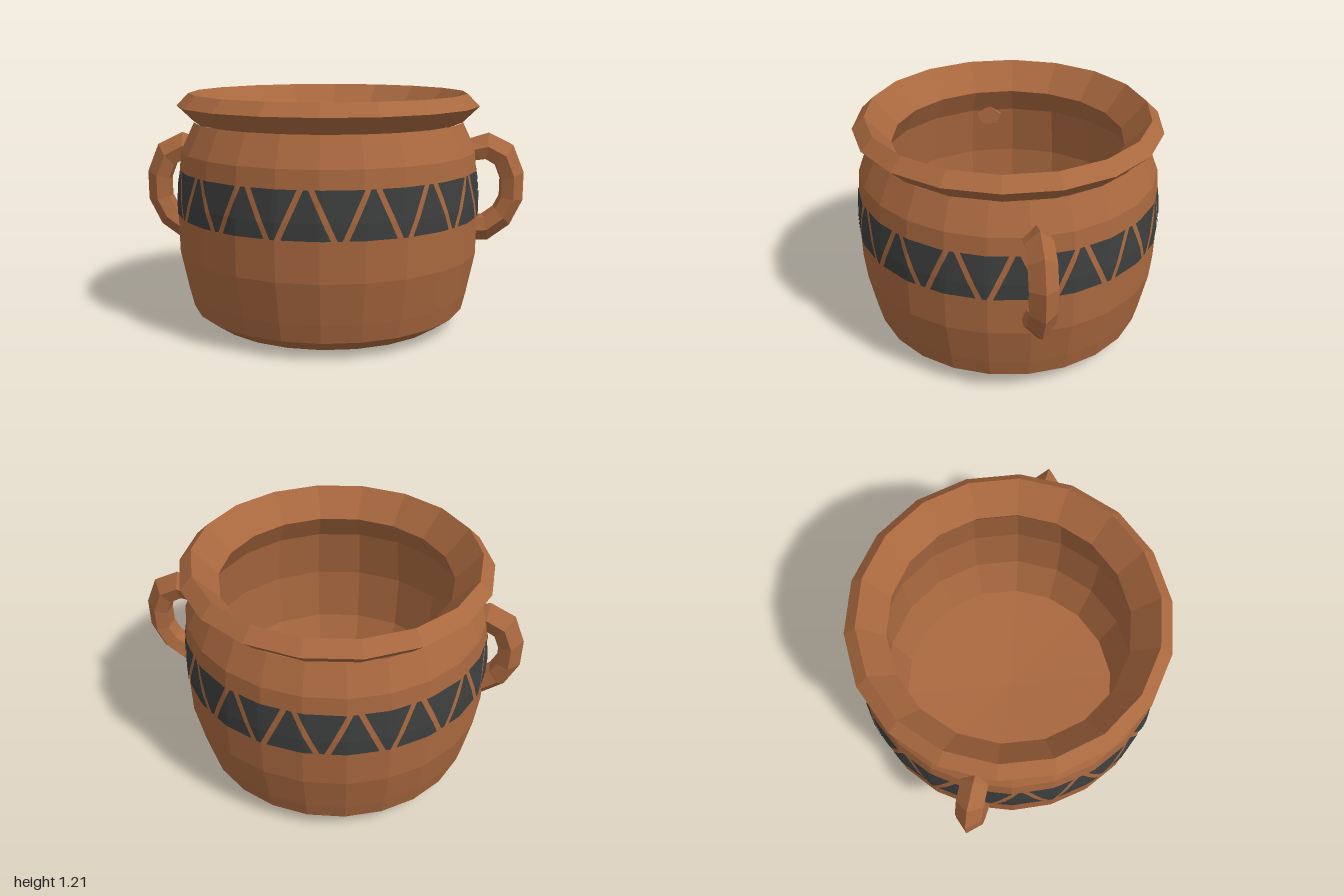
import * as THREE from 'three';

const CX = -0.035;                 // pot axis sits slightly off centre
const SIDES = 24, RIM_SIDES = 18;
const BODY = [[0, 0.003], [0.51, 0.003], [0.635, 0.03], [0.725, 0.095], [0.748, 0.19],
  [0.79, 0.4], [0.793, 0.6], [0.793, 0.68], [0.77, 0.92], [0.7, 1.067]];

function createMaterials() {
  const clay = new THREE.MeshStandardMaterial({ color: 0xa9683f, flatShading: true });
  clay.name = 'terracotta';
  const paint = new THREE.MeshStandardMaterial({ color: 0x3d3e3e, flatShading: true });
  paint.name = 'charcoalPaint';
  return { clay, paint };
}

function lathe(name, profile, sides, material) {
  const geometry = new THREE.LatheGeometry(profile.map(([r, y]) => new THREE.Vector2(r, y)), sides);
  const mesh = new THREE.Mesh(geometry, material);
  mesh.name = name;
  mesh.position.x = CX;
  return mesh;
}

function meshFrom(name, positions, index, material) {
  let geometry = new THREE.BufferGeometry();
  geometry.setAttribute('position', new THREE.Float32BufferAttribute(positions, 3));
  geometry.setIndex(index);
  geometry = geometry.toNonIndexed();
  geometry.computeVertexNormals();
  const mesh = new THREE.Mesh(geometry, material);
  mesh.name = name;
  return mesh;
}

// Radius of the faceted body at an angle and height
function bodyRadius(theta, y) {
  let i = 1;
  while (i < BODY.length - 2 && y > BODY[i + 1][1]) i++;
  const [r0, y0] = BODY[i], [r1, y1] = BODY[i + 1];
  const r = r0 + (r1 - r0) * (y - y0) / (y1 - y0);
  const step = 2 * Math.PI / SIDES;
  const local = ((theta % step) + step) % step - step / 2;
  return r * Math.cos(step / 2) / Math.cos(local);
}

// Painted band: alternating upright and inverted triangles hugging the wall
function createBand(material) {
  const positions = [], index = [];
  const rows = [0.6, 0.68, 0.76, 0.83], cols = 6, count = 32;
  for (let k = 0; k < count; k++) {
    const centre = -0.08 + k * 2 * Math.PI / count;
    const bottom = k % 2 ? 0.014 : 0.145, top = k % 2 ? 0.145 : 0.014;
    const base = positions.length / 3;
    rows.forEach((y, j) => {
      const half = bottom + (top - bottom) * (y - 0.6) / 0.23;
      for (let i = 0; i <= cols; i++) {
        const theta = centre + half * (2 * i / cols - 1);
        const r = bodyRadius(theta, y) + 0.005;
        positions.push(r * Math.sin(theta), y, r * Math.cos(theta));
        if (i < cols && j < rows.length - 1) {
          const a = base + j * (cols + 1) + i, d = a + cols + 1;
          index.push(a, a + 1, d + 1, a, d + 1, d);
        }
      }
    });
  }
  const band = meshFrom('triangleBand', positions, index, material);
  band.position.x = CX;
  return band;
}

// Loop handle: five-sided section with a ridge along its outer edge
function createHandle(name, material) {
  const outer = [[0.68, 0.96], [0.81, 1.0], [0.94, 0.935], [1.0, 0.79], [1.0, 0.64], [0.935, 0.505], [0.82, 0.42], [0.73, 0.42]];
  const inner = [[0.68, 0.85], [0.79, 0.865], [0.85, 0.83], [0.88, 0.755], [0.88, 0.66], [0.85, 0.6], [0.79, 0.555], [0.73, 0.545]];
  const section = [[1, 0], [0.5, 0.067], [0, 0.045], [0, -0.045], [0.5, -0.067]];
  const positions = [], index = [], n = section.length, last = (outer.length - 1) * n;
  outer.forEach(([ox, oy], i) => {
    const [ix, iy] = inner[i];
    section.forEach(([t, z], j) => {
      positions.push(ix + (ox - ix) * t, iy + (oy - iy) * t, z - 0.022);
      if (i < outer.length - 1) {
        const a = i * n + j, b = i * n + (j + 1) % n;
        index.push(a, b, b + n, a, b + n, a + n);
      }
    });
  });
  for (let j = 1; j < n - 1; j++) index.push(0, j + 1, j, last, last + j, last + j + 1);
  return meshFrom(name, positions, index, material);
}

export function createModel() {
  const { clay, paint } = createMaterials();
  const pot = new THREE.Group();
  pot.name = 'clayPot';

  pot.add(lathe('body', BODY, SIDES, clay));
  // Flared lip, sloping in to the narrower mouth
  pot.add(lathe('rim', [[0.66, 1.06], [0.7, 1.067], [0.785, 1.15], [0.722, 1.212], [0.595, 1.07]], RIM_SIDES, clay));
  pot.add(lathe('interior', [[0.595, 1.07], [0.67, 0.93], [0.71, 0.65], [0.69, 0.35], [0.6, 0.12], [0, 0.08]], RIM_SIDES, clay));
  pot.add(createBand(paint));

  // Handles, the second turned half way round
  const leftHandle = createHandle('leftHandle', clay);
  const rightHandle = createHandle('rightHandle', clay);
  rightHandle.rotation.y = Math.PI;
  pot.add(leftHandle, rightHandle);
  return pot;
}
